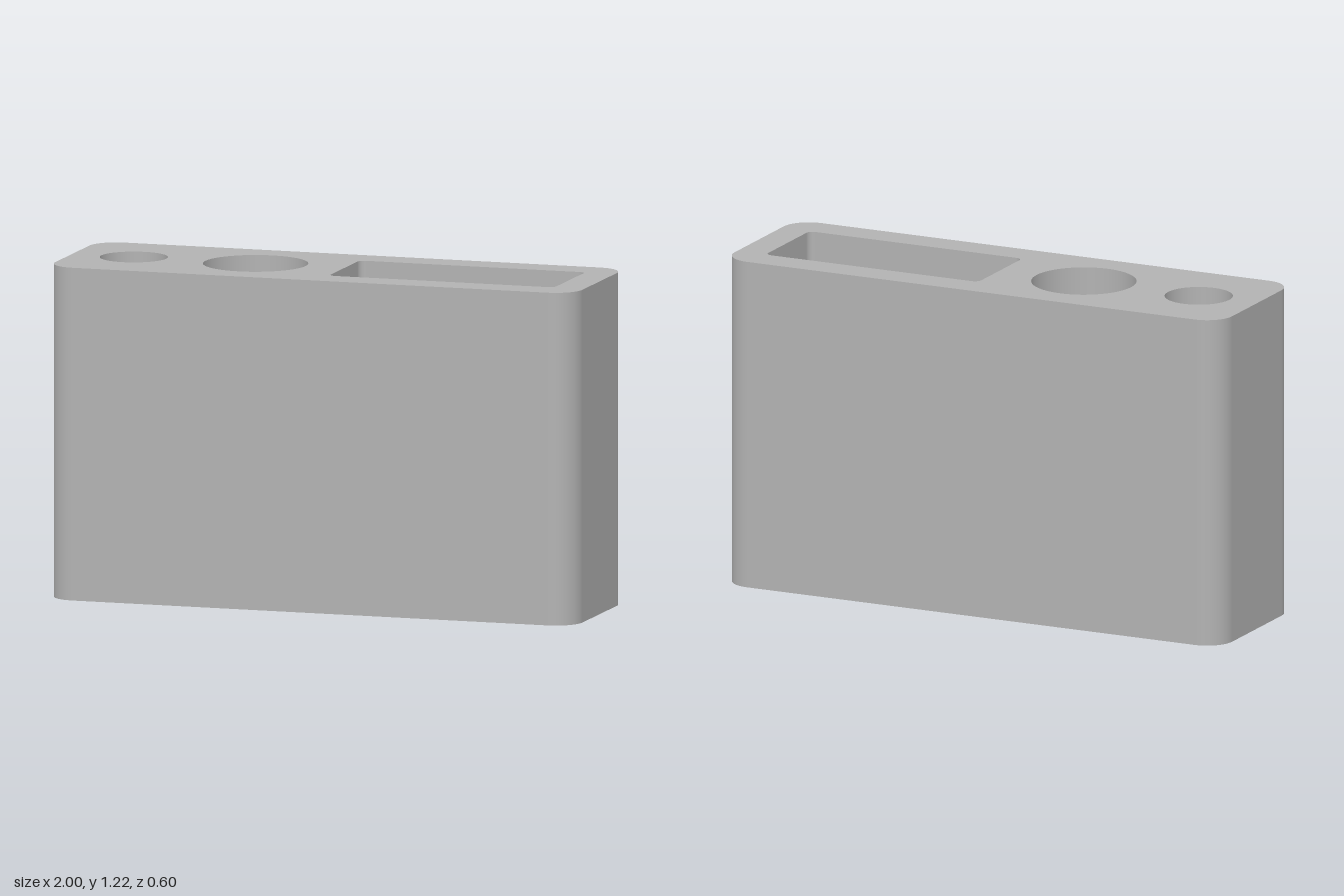
import * as THREE from 'three';

const HEIGHT = 1.215, FLOOR = 0.11;

// Counter-clockwise rounded rectangle (a circle when w = d = 2r), with outward normals
function outline(cx, w, d, r, steps) {
  const pts = [];
  const round = w === 2 * r && d === 2 * r;
  const corners = [[1, 1], [-1, 1], [-1, -1], [1, -1]];
  corners.forEach(([sx, sy], k) => {
    for (let i = 0; i < (round ? steps : steps + 1); i++) {
      const a = (k + i / steps) * Math.PI / 2;
      const n = new THREE.Vector2(Math.cos(a), Math.sin(a));
      pts.push({ n, p: new THREE.Vector2(cx + sx * (w / 2 - r) + r * n.x, sy * (d / 2 - r) + r * n.y) });
    }
  });
  return pts;
}

// Upright wall along an outline; side = 1 faces outward, -1 faces inward
function wall(loop, y0, y1, side) {
  const pos = [], nor = [], idx = [], count = loop.length;
  for (const { p, n } of loop) {
    for (const y of [y0, y1]) {
      pos.push(p.x, y, -p.y);
      nor.push(side * n.x, 0, -side * n.y);
    }
  }
  for (let i = 0; i < count; i++) {
    const a = 2 * i, b = 2 * ((i + 1) % count);
    if (side > 0) idx.push(a, b, b + 1, a, b + 1, a + 1);
    else idx.push(a, b + 1, b, a, a + 1, b + 1);
  }
  const geo = new THREE.BufferGeometry();
  geo.setAttribute('position', new THREE.Float32BufferAttribute(pos, 3));
  geo.setAttribute('normal', new THREE.Float32BufferAttribute(nor, 3));
  geo.setIndex(idx);
  return geo;
}

// Flat face filling an outline, optionally with holes
function cap(loop, y, up, holes = []) {
  const shape = new THREE.Shape(loop.map(v => v.p));
  shape.holes = holes.map(h => new THREE.Path(h.map(v => v.p)));
  return new THREE.ShapeGeometry(shape).rotateX(up ? -Math.PI / 2 : Math.PI / 2).translate(0, y, 0);
}

export function createModel() {
  const model = new THREE.Group();
  model.name = 'deskHolder';
  const grey = new THREE.MeshStandardMaterial({ color: 0xb2b2b2 });
  grey.name = 'grey';
  const add = (parent, name, geo) => {
    const mesh = new THREE.Mesh(geo, grey);
    mesh.name = name;
    parent.add(mesh);
  };

  const body = outline(0, 2, 0.6, 0.1, 12);
  const pockets = {
    smallRoundPocket: outline(-0.767, 0.246, 0.246, 0.123, 16),
    largeRoundPocket: outline(-0.305, 0.38, 0.38, 0.19, 16),
    rectangularPocket: outline(0.459, 0.856, 0.36, 0.025, 6),
  };

  // Solid block with rounded upright edges
  add(model, 'outerWall', wall(body, 0, HEIGHT, 1));
  add(model, 'base', cap(body, 0, false));
  add(model, 'topFace', cap(body, HEIGHT, true, Object.values(pockets)));

  // Deep pockets sunk from the top
  for (const [name, loop] of Object.entries(pockets)) {
    const pocket = new THREE.Group();
    pocket.name = name;
    add(pocket, name + 'Wall', wall(loop, FLOOR, HEIGHT, -1));
    add(pocket, name + 'Floor', cap(loop, FLOOR, true));
    model.add(pocket);
  }
  return model;
}
